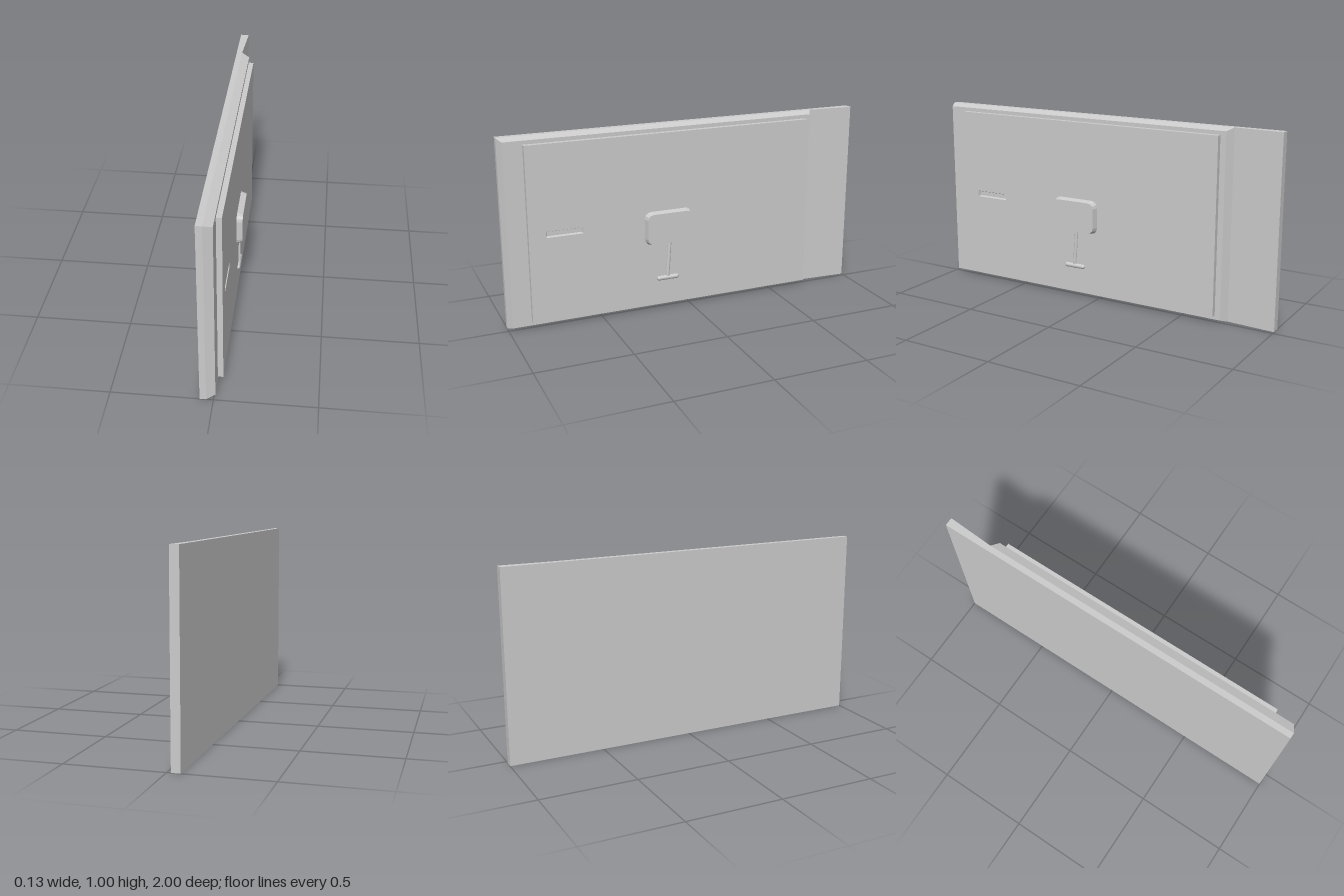
import * as THREE from 'three';

const material = new THREE.MeshStandardMaterial({ color: 0xcccccc });
const flat = new THREE.MeshStandardMaterial({ color: 0xcccccc, flatShading: true });

// Counter-clockwise loop (seen from +x) of a rectangle with rounded corners
function loop(x, y0, y1, z0, z1, r = 0, seg = 0) {
  const points = [];
  const corners = [[y1 - r, z1 - r], [y0 + r, z1 - r], [y0 + r, z0 + r], [y1 - r, z0 + r]];
  corners.forEach(([y, z], k) => {
    for (let i = 0; i <= seg; i++) {
      const a = (k + (seg ? i / seg : 0)) * Math.PI / 2;
      points.push(new THREE.Vector3(x, y + r * Math.cos(a), z + r * Math.sin(a)));
    }
  });
  return points;
}

// Walls from loop a to loop b, with b capped towards +x
function loft(a, b) {
  const centre = b.reduce((s, p) => s.add(p), new THREE.Vector3()).divideScalar(b.length);
  const tris = [];
  a.forEach((p, i) => {
    const j = (i + 1) % a.length;
    tris.push(p, a[j], b[j], p, b[j], b[i], centre, b[i], b[j]);
  });
  const geometry = new THREE.BufferGeometry().setFromPoints(tris);
  geometry.computeVertexNormals();
  return geometry;
}

export function createModel() {
  const group = new THREE.Group();
  const add = (name, geometry, mat = flat) => {
    const mesh = new THREE.Mesh(geometry, mat);
    mesh.name = name;
    group.add(mesh);
    return mesh;
  };
  const height = 1.005;

  // Back slab with the thin wing at the rear, extruded upwards (shape y = -z)
  const slab = new THREE.Shape([
    [-0.066, -1], [-0.035, -1], [-0.035, 0.745], [-0.02, 1], [-0.066, 1],
  ].map(([x, y]) => new THREE.Vector2(x, y)));
  add('backSlab', new THREE.ExtrudeGeometry(slab, { depth: height, bevelEnabled: false })
    .rotateX(-Math.PI / 2));

  // Bevelled face of the main slab
  add('bevelledFace', loft(
    loop(-0.035, 0, height, -0.745, 1),
    loop(0.008, 0.015, 0.99, -0.72, 0.98)));

  // Raised panel with an opening for the pull (shape x = -z)
  const rect = (Type, z0, z1, y0, y1) => new Type([
    [-z1, y0], [-z0, y0], [-z0, y1], [-z1, y1],
  ].map(([x, y]) => new THREE.Vector2(x, y)));
  const panel = rect(THREE.Shape, -0.69, 0.88, 0.037, 0.97);
  panel.holes.push(rect(THREE.Path, 0.595, 0.79, 0.487, 0.52));
  add('raisedPanel', new THREE.ExtrudeGeometry(panel, { depth: 0.027, bevelEnabled: false })
    .rotateY(Math.PI / 2).translate(0.008, 0, 0));

  // Recessed pull with slightly sloping walls
  add('recessedPull', loft(
    loop(0.035, 0.487, 0.52, 0.595, 0.79),
    loop(0.019, 0.491, 0.514, 0.6, 0.785)));

  // Tapered housing with rounded corners
  add('housing', loft(
    loop(0.034, 0.372, 0.555, -0.006, 0.263, 0.036, 3),
    loop(0.066, 0.381, 0.546, 0.003, 0.254, 0.03, 3)));

  // Lever hanging from the housing, with a rounded crossbar
  const top = new THREE.Vector3(0.0355, 0.385, 0.123);
  const bottom = new THREE.Vector3(0.0355, 0.178, 0.137);
  const along = top.clone().sub(bottom);
  const stem = add('leverStem', new THREE.CylinderGeometry(0.0095, 0.0095, along.length(), 16), material);
  stem.position.copy(top).add(bottom).multiplyScalar(0.5);
  stem.quaternion.setFromUnitVectors(new THREE.Vector3(0, 1, 0), along.normalize());

  const bar = add('leverCrossbar', new THREE.CapsuleGeometry(0.0125, 0.1, 6, 16), material);
  bar.rotation.x = Math.PI / 2;
  bar.position.set(0.0355, 0.177, 0.135);

  return group;
}
